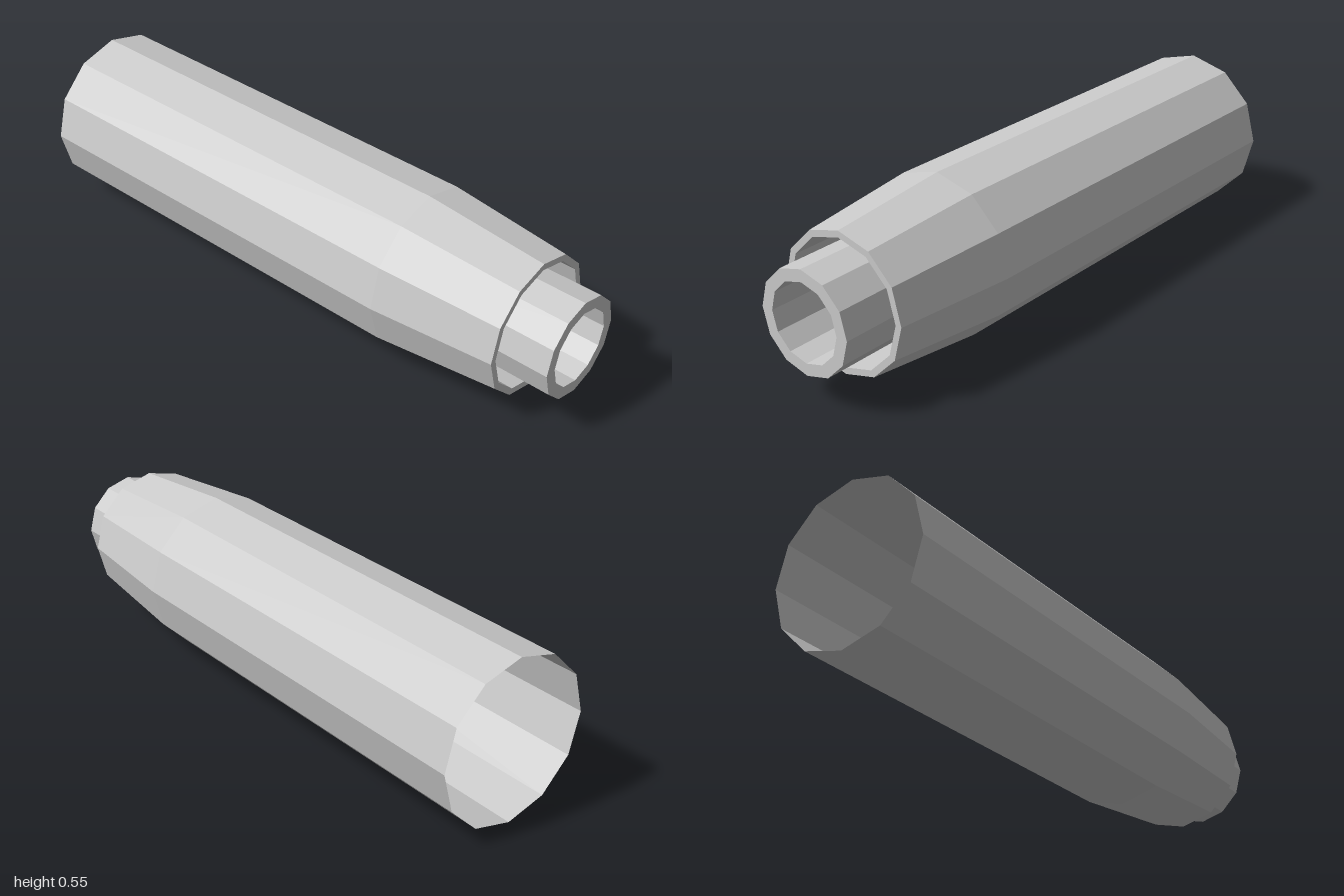
import * as THREE from 'three';

const SIDES = 12;
const RADIUS = 0.2725;

// Twelve-sided part turned around the z axis from [radius, z] points
function turned(name, profile, material) {
  const points = profile.map(([r, z]) => new THREE.Vector2(r, z));
  const geometry = new THREE.LatheGeometry(points, SIDES);
  geometry.rotateX(Math.PI / 2);
  const mesh = new THREE.Mesh(geometry, material);
  mesh.name = name;
  mesh.position.y = RADIUS;
  return mesh;
}

export function createModel() {
  const group = new THREE.Group();
  group.name = 'taperedTube';
  const material = new THREE.MeshStandardMaterial({
    color: 0xcccccc, flatShading: true, side: THREE.DoubleSide,
  });

  // Thin outer sleeve, open at the back, tapering to a narrow front rim
  group.add(turned('outerSleeve', [
    [RADIUS, -1], [RADIUS, 0.43], [0.232, 0.85], [0.21, 0.85], [0.21, 0.43],
  ], material));

  // Inner nozzle with a thick rim, standing out of the front recess
  group.add(turned('innerNozzle', [
    [0.169, 0.43], [0.169, 1], [0.129, 1], [0.129, 0.43],
  ], material));

  // Wall closing the recess and the bore from behind
  group.add(turned('innerWall', [[0.21, 0.43], [0, 0.43]], material));

  return group;
}
